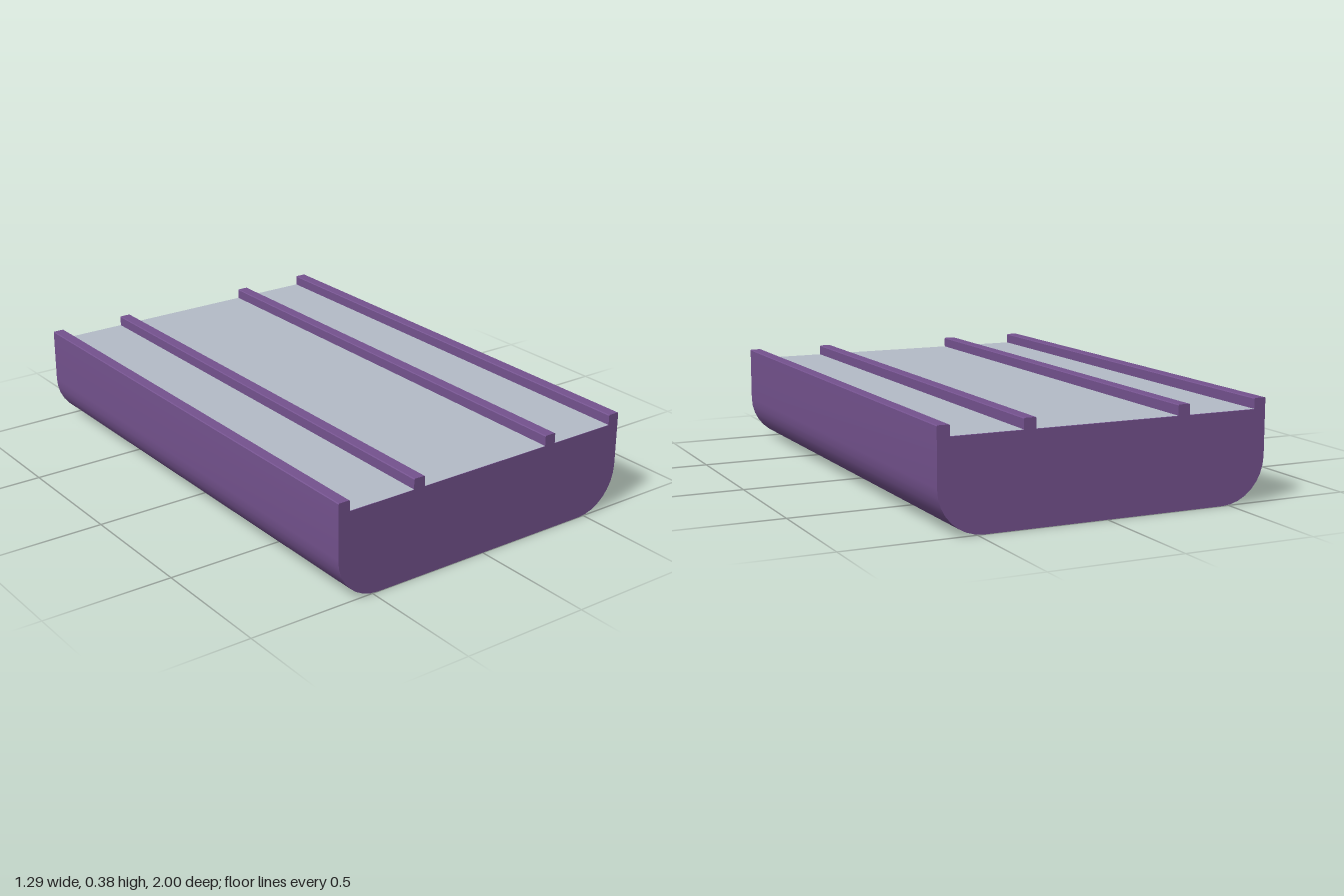
import * as THREE from 'three';
import { toCreasedNormals } from 'three/addons/utils/BufferGeometryUtils.js';

const LENGTH = 2, HALF_W = 0.647, RADIUS = 0.172, DECK_Y = 0.344, RAIL_TOP = 0.385, RAIL_W = 0.047;
const RAIL_CENTRES = [-0.6235, -0.3035, 0.3035, 0.6235];

export function createModel() {
  const purple = new THREE.MeshStandardMaterial({ color: 0x74528e });
  purple.name = 'purple';
  const grey = new THREE.MeshStandardMaterial({ color: 0xb3bbc7 });
  grey.name = 'blue grey';

  const group = new THREE.Group();
  group.name = 'deckSection';

  // Cross-section: rounded lower corners, four raised rails with tiny chamfers
  const s = new THREE.Shape();
  s.moveTo(-HALF_W + RADIUS, 0);
  s.lineTo(HALF_W - RADIUS, 0);
  s.absarc(HALF_W - RADIUS, RADIUS, RADIUS, -Math.PI / 2, 0, false);
  const c = 0.003;
  for (const x of [...RAIL_CENTRES].reverse()) {
    const r = x + RAIL_W / 2, l = x - RAIL_W / 2;
    if (x < 0.6) s.lineTo(r, DECK_Y);
    s.lineTo(r, RAIL_TOP - c);
    s.lineTo(r - c, RAIL_TOP);
    s.lineTo(l + c, RAIL_TOP);
    s.lineTo(l, RAIL_TOP - c);
    if (x > -0.6) s.lineTo(l, DECK_Y);
  }
  s.lineTo(-HALF_W, RADIUS);
  s.absarc(-HALF_W + RADIUS, RADIUS, RADIUS, Math.PI, Math.PI * 1.5, false);

  const bodyGeo = new THREE.ExtrudeGeometry(s, { depth: LENGTH, bevelEnabled: false, curveSegments: 4 });
  bodyGeo.translate(0, 0, -LENGTH / 2);
  const body = new THREE.Mesh(toCreasedNormals(bodyGeo, 0.6), purple);
  body.name = 'hullWithRails';
  group.add(body);

  // Grey deck surface between neighbouring rails
  const names = ['rightDeck', 'centreDeck', 'leftDeck'];
  names.forEach((name, i) => {
    const a = RAIL_CENTRES[i] + RAIL_W / 2, b = RAIL_CENTRES[i + 1] - RAIL_W / 2;
    const deck = new THREE.Mesh(new THREE.PlaneGeometry(b - a, LENGTH).rotateX(-Math.PI / 2), grey);
    deck.position.set((a + b) / 2, DECK_Y + 0.0015, 0);
    deck.name = name;
    group.add(deck);
  });

  return group;
}
